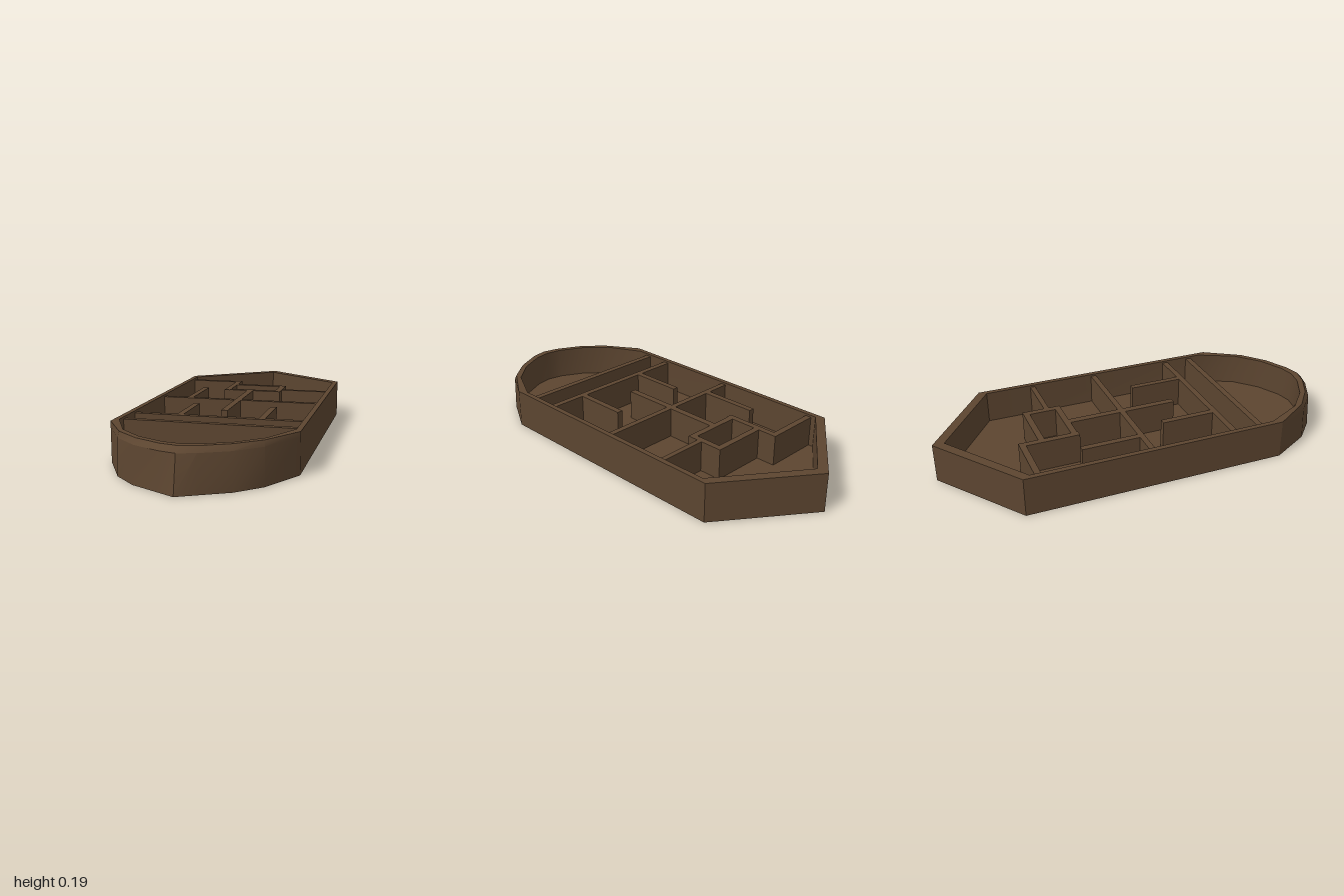
import * as THREE from 'three';
import { toCreasedNormals } from 'three/addons/utils/BufferGeometryUtils.js';

const H = 0.19, FLOOR = 0.03, WALL_TOP = 0.18;

// Mirror a half outline (bow tip ... stern tip) into a closed loop at height y
function ring(y, half) {
  const mirrored = half.slice(1, -1).reverse().map(([x, z]) => [-x, z]);
  return [...half, ...mirrored].map(([x, z]) => [x, y, z]);
}

// Skin a stack of rings and cap both ends
function skin(rings) {
  const n = rings[0].length, index = [];
  for (let r = 0; r < rings.length - 1; r++) {
    for (let i = 0; i < n; i++) {
      const j = (i + 1) % n, a = r * n, b = a + n;
      index.push(a + i, a + j, b + j, a + i, b + j, b + i);
    }
  }
  const last = (rings.length - 1) * n;
  for (let i = 1; i < n - 1; i++) {
    index.push(0, i + 1, i);
    index.push(last, last + i, last + i + 1);
  }
  const g = new THREE.BufferGeometry();
  g.setAttribute('position', new THREE.Float32BufferAttribute(rings.flat(2), 3));
  g.setIndex(index);
  return toCreasedNormals(g, 0.47);
}

export function createModel() {
  const model = new THREE.Group();
  model.name = 'boat';
  const wood = new THREE.MeshStandardMaterial({ color: 0x5c4530 });
  wood.name = 'dark brown wood';

  // Hull: raked bow, rounded-over rim, hollow inside down to the floor
  const stern = [[0.425, 0.59], [0.425, -0.69], [0, -1]];
  const inner = [[0, 0.905], [0.08, 0.89], [0.2, 0.83], [0.31, 0.73], [0.4, 0.55], [0.4, -0.655], [0, -0.944]];
  const hull = new THREE.Mesh(skin([
    ring(0, [[0, 1], [0.08, 0.958], [0.21, 0.89], [0.315, 0.79], ...stern]),
    ring(0.165, [[0, 0.965], [0.08, 0.943], [0.205, 0.88], [0.313, 0.783], ...stern]),
    ring(H, [[0, 0.94], [0.08, 0.922], [0.2, 0.862], [0.31, 0.77], ...stern]),
    ring(H, inner),
    ring(FLOOR, inner),
  ]), wood);
  hull.name = 'hull';
  model.add(hull);

  // Interior partitions: [name, x0, x1, z0, z1]
  const walls = [
    ['foreBulkhead', -0.405, 0.405, 0.47, 0.5],
    ['middleBulkhead', -0.405, 0.405, 0.33, 0.36],
    ['aftBulkhead', -0.405, 0.405, -0.09, -0.062],
    ['rightCabinDivider', -0.2, -0.17, 0.065, 0.33],
    ['leftCabinDivider', 0.19, 0.22, 0.065, 0.33],
    ['centreDivider', -0.025, 0.008, -0.062, 0.2],
    ['aftCentreDivider', -0.025, 0.008, -0.345, -0.09],
    ['aftSideDivider', -0.28, -0.25, -0.375, -0.09],
    ['sternCrossWall', -0.405, -0.12, -0.63, -0.6],
    ['sternLongWall', -0.15, -0.12, -0.6, -0.34],
    ['closetBackWall', -0.12, 0.155, -0.535, -0.505],
    ['closetFrontWall', -0.12, 0.155, -0.375, -0.345],
    ['closetSideWall', 0.125, 0.155, -0.505, -0.375],
    ['sternSideWall', 0.155, 0.405, -0.425, -0.4],
  ];
  const partitions = new THREE.Group();
  partitions.name = 'partitions';
  for (const [name, x0, x1, z0, z1] of walls) {
    const h = WALL_TOP - FLOOR + 0.005;
    const wall = new THREE.Mesh(new THREE.BoxGeometry(x1 - x0, h, z1 - z0), wood);
    wall.position.set((x0 + x1) / 2, WALL_TOP - h / 2, (z0 + z1) / 2);
    wall.name = name;
    partitions.add(wall);
  }
  model.add(partitions);
  return model;
}
